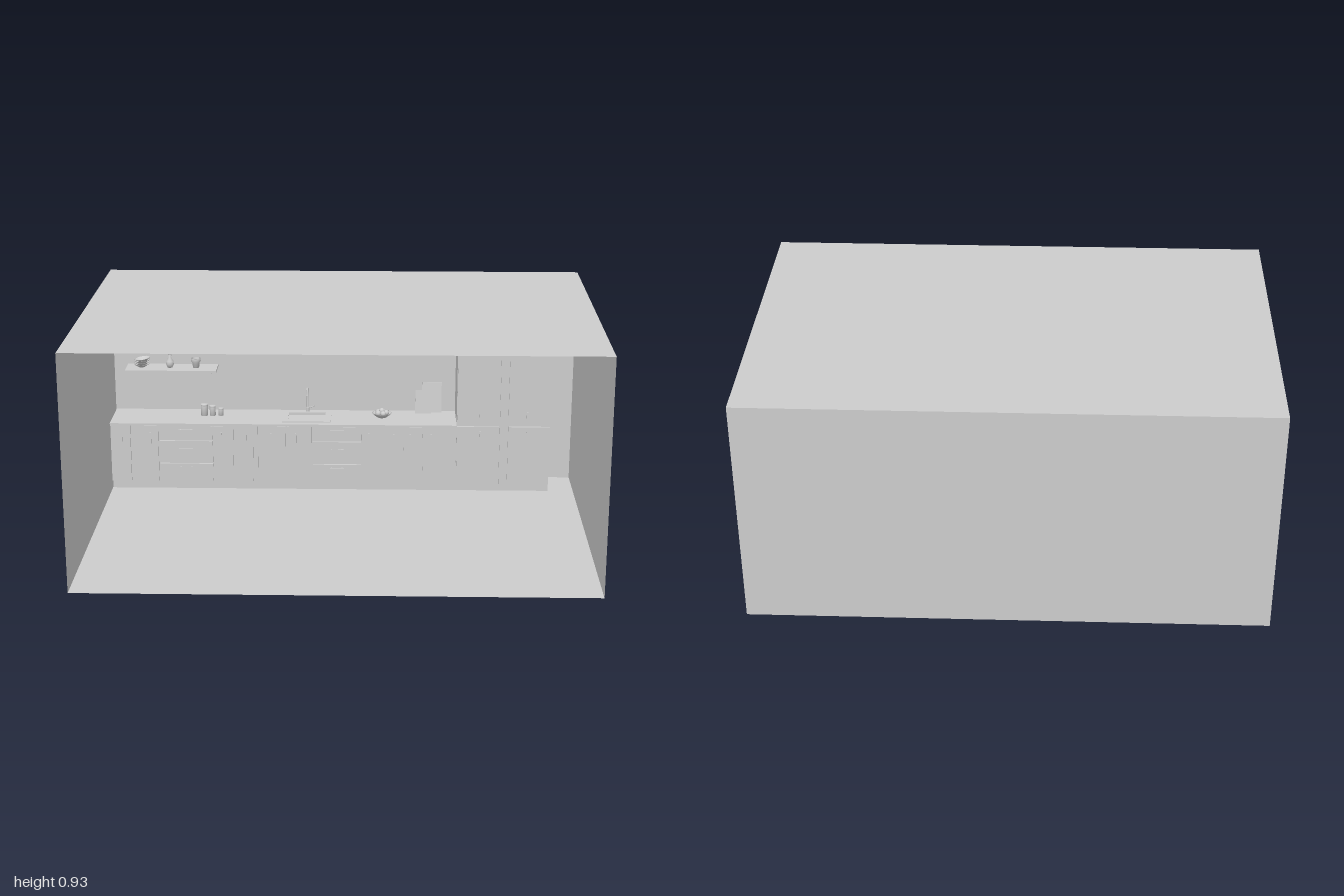
import * as THREE from 'three';

const grey = new THREE.MeshStandardMaterial({ color: 0xcccccc, side: THREE.DoubleSide });
grey.name = 'plain grey';

const BACK = -0.665; // just in front of the back wall

function add(parent, name, geometry, x = 0, y = 0, z = 0) {
  const mesh = new THREE.Mesh(geometry, grey);
  mesh.name = name;
  mesh.position.set(x, y, z);
  parent.add(mesh);
  return mesh;
}

// Box given by its limits
function box(parent, name, x0, x1, y0, y1, z0, z1) {
  return add(parent, name, new THREE.BoxGeometry(x1 - x0, y1 - y0, z1 - z0),
    (x0 + x1) / 2, (y0 + y1) / 2, (z0 + z1) / 2);
}

function lathe(parent, name, points, x, y, z) {
  const profile = points.map(([r, h]) => new THREE.Vector2(r, h));
  return add(parent, name, new THREE.LatheGeometry(profile, 24), x, y, z);
}

function group(parent, name) {
  const g = new THREE.Group();
  g.name = name;
  parent.add(g);
  return g;
}

// Bar handle on two short posts
function handle(parent, x, y, z, length, vertical) {
  const g = group(parent, 'handle');
  g.position.set(x, y, z);
  if (!vertical) g.rotation.z = Math.PI / 2;
  box(g, 'handleBar', -0.003, 0.003, -length / 2, length / 2, 0.007, 0.012);
  for (const s of [-1, 1]) {
    const h = s * length * 0.38;
    box(g, 'handlePost', -0.002, 0.002, h - 0.002, h + 0.002, 0, 0.008);
  }
}

function buildRoom(root) {
  const room = group(root, 'room');
  const W = 2, H = 0.93, D = 1.333;
  add(room, 'floor', new THREE.PlaneGeometry(W, D)).rotation.x = -Math.PI / 2;
  add(room, 'ceiling', new THREE.PlaneGeometry(W, D), 0, H, 0).rotation.x = Math.PI / 2;
  add(room, 'backWall', new THREE.PlaneGeometry(W, H), 0, H / 2, -D / 2);
  for (const s of [-1, 1]) {
    add(room, 'sideWall', new THREE.PlaneGeometry(D, H), s * W / 2, H / 2, 0).rotation.y = -s * Math.PI / 2;
  }
}

function buildBaseCabinets(root) {
  const g = group(root, 'baseCabinets');
  const front = -0.476, face = -0.466;
  box(g, 'plinth', -0.998, 0.49, 0.001, 0.035, BACK, -0.487);
  box(g, 'carcass', -0.998, 0.49, 0.035, 0.295, BACK, front);
  box(g, 'worktopLeft', -0.998, -0.24, 0.295, 0.305, BACK, -0.455);
  box(g, 'worktopRight', -0.07, 0.49, 0.295, 0.305, BACK, -0.455);
  box(g, 'worktopBack', -0.24, -0.07, 0.295, 0.305, BACK, -0.62);
  box(g, 'worktopFront', -0.24, -0.07, 0.295, 0.305, -0.5, -0.455);

  // Doors: left edge, right edge, handle position
  const doors = [
    [-0.998, -0.913, -0.95], [-0.907, -0.793, -0.825],
    [-0.552, -0.469, -0.52], [-0.466, -0.384, -0.415],
    [-0.358, -0.243, -0.307], [-0.237, -0.133, -0.2],
    [0.088, 0.171, 0.115], [0.174, 0.257, 0.222],
    [0.263, 0.343, 0.292], [0.346, 0.488, 0.382],
  ];
  for (const [x0, x1, hx] of doors) {
    box(g, 'door', x0, x1, 0.04, 0.291, front, face);
    handle(g, hx, 0.24, face, 0.05, true);
  }
  box(g, 'fillerStrip', -0.379, -0.363, 0.04, 0.291, front, face);

  // Two stacks of three drawers
  for (const [x0, x1] of [[-0.787, -0.558], [-0.127, 0.082]]) {
    for (const [y0, y1, hy] of [[0.04, 0.12, 0.105], [0.126, 0.223, 0.19], [0.229, 0.291, 0.275]]) {
      box(g, 'drawer', x0, x1, y0, y1, front, face);
      handle(g, (x0 + x1) / 2, hy, face, 0.06, false);
    }
  }
}

function buildTallCabinet(root) {
  const g = group(root, 'tallCabinet');
  const front = -0.472, face = -0.462;
  box(g, 'tallPlinth', 0.49, 0.89, 0.001, 0.035, BACK, -0.487);
  box(g, 'tallCarcass', 0.49, 0.89, 0.035, 0.73, BACK, front);
  box(g, 'crown', 0.49, 0.89, 0.73, 0.755, BACK, -0.455);
  for (const [y0, y1, hy] of [[0.04, 0.298, 0.257], [0.302, 0.726, 0.343]]) {
    for (const [x0, x1, hx] of [[0.492, 0.671, 0.59], [0.711, 0.888, 0.79]]) {
      box(g, 'tallDoor', x0, x1, y0, y1, front, face);
      handle(g, hx, hy, face, 0.046, true);
    }
  }
  box(g, 'centreStrip', 0.675, 0.707, 0.04, 0.726, front, face);
}

function buildSink(root) {
  const g = group(root, 'sink');
  // Rim and open basin
  const rim = new THREE.Shape([[-0.105, -0.075], [0.105, -0.075], [0.105, 0.075], [-0.105, 0.075]]
    .map(([x, y]) => new THREE.Vector2(x, y)));
  rim.holes.push(new THREE.Path([[-0.08, -0.055], [-0.08, 0.055], [0.08, 0.055], [0.08, -0.055]]
    .map(([x, y]) => new THREE.Vector2(x, y))));
  add(g, 'sinkRim', new THREE.ExtrudeGeometry(rim, { depth: 0.004, bevelEnabled: false }),
    -0.155, 0.305, -0.56).rotation.x = -Math.PI / 2;
  box(g, 'basinFloor', -0.235, -0.075, 0.296, 0.298, -0.615, -0.505);
  // Arched tap with a side lever
  const path = new THREE.CatmullRomCurve3([[0, 0, 0], [0, 0.09, 0], [0, 0.112, 0.015], [0, 0.112, 0.04], [0, 0.09, 0.052]]
    .map((p) => new THREE.Vector3(...p)));
  add(g, 'tapSpout', new THREE.TubeGeometry(path, 24, 0.004, 10), -0.155, 0.305, -0.637);
  add(g, 'tapBase', new THREE.CylinderGeometry(0.008, 0.008, 0.02, 16), -0.155, 0.318, -0.637);
  add(g, 'tapLever', new THREE.CylinderGeometry(0.002, 0.002, 0.03, 8), -0.14, 0.327, -0.637).rotation.z = -1.2;
}

function buildWorktopItems(root) {
  const g = group(root, 'worktopItems');
  const y = 0.305;
  // Storage jars
  for (const [x, r, h] of [[-0.602, 0.015, 0.052], [-0.566, 0.013, 0.045], [-0.53, 0.011, 0.034]]) {
    lathe(g, 'jar', [[0, 0], [r, 0], [r, h * 0.8], [r * 0.85, h * 0.84], [r, h * 0.86], [r, h], [0, h]], x, y, -0.58);
  }
  // Fruit bowl
  lathe(g, 'fruitBowl', [[0, 0], [0.018, 0], [0.03, 0.008], [0.042, 0.02], [0.039, 0.02], [0.027, 0.01], [0, 0.005]],
    0.17, y, -0.57);
  for (let i = 0; i < 5; i++) {
    const a = i * Math.PI * 0.4;
    add(g, 'fruit', new THREE.SphereGeometry(0.012, 14, 10), 0.17 + Math.cos(a) * 0.019, y + 0.02, -0.57 + Math.sin(a) * 0.019);
  }
  add(g, 'topFruit', new THREE.SphereGeometry(0.012, 14, 10), 0.17, y + 0.029, -0.57);
  // Boards leaning on the wall
  const large = box(g, 'largeBoard', 0.345, 0.43, 0.307, 0.44, -0.65, -0.643);
  const small = box(g, 'smallBoard', 0.315, 0.385, 0.307, 0.41, -0.632, -0.625);
  large.rotation.x = small.rotation.x = -0.12;
}

function buildShelf(root) {
  const g = group(root, 'wallShelf');
  const top = 0.512, z = -0.61;
  box(g, 'shelfBoard', -0.94, -0.545, 0.504, top, BACK, -0.555);
  for (const x of [-0.905, -0.58]) {
    box(g, 'bracketUpright', x - 0.003, x + 0.003, 0.47, 0.504, BACK, -0.659);
    box(g, 'bracketArm', x - 0.003, x + 0.003, 0.499, 0.504, BACK, -0.575);
  }
  // Leaning stack of bowls
  for (let i = 0; i < 4; i++) {
    const bowl = lathe(g, 'bowl', [[0, 0], [0.014, 0], [0.034, 0.014], [0.032, 0.015], [0.013, 0.003], [0, 0.003]],
      -0.873 + i * 0.002, top + 0.002 + i * 0.008, z);
    bowl.rotation.z = i * 0.05;
  }
  // Vase
  lathe(g, 'vase', [[0, 0], [0.01, 0], [0.017, 0.015], [0.015, 0.028], [0.006, 0.044], [0.007, 0.056], [0.004, 0.052], [0, 0.04]],
    -0.75, top, z);
  // Plant pot with a thick rim
  lathe(g, 'pot', [[0, 0], [0.013, 0], [0.017, 0.028], [0.021, 0.028], [0.021, 0.042], [0.018, 0.042], [0.014, 0.005], [0, 0.005]],
    -0.637, top, z);
}

export function createModel() {
  const root = new THREE.Group();
  root.name = 'kitchenRoom';
  buildRoom(root);
  buildBaseCabinets(root);
  buildTallCabinet(root);
  buildSink(root);
  buildWorktopItems(root);
  buildShelf(root);
  return root;
}
